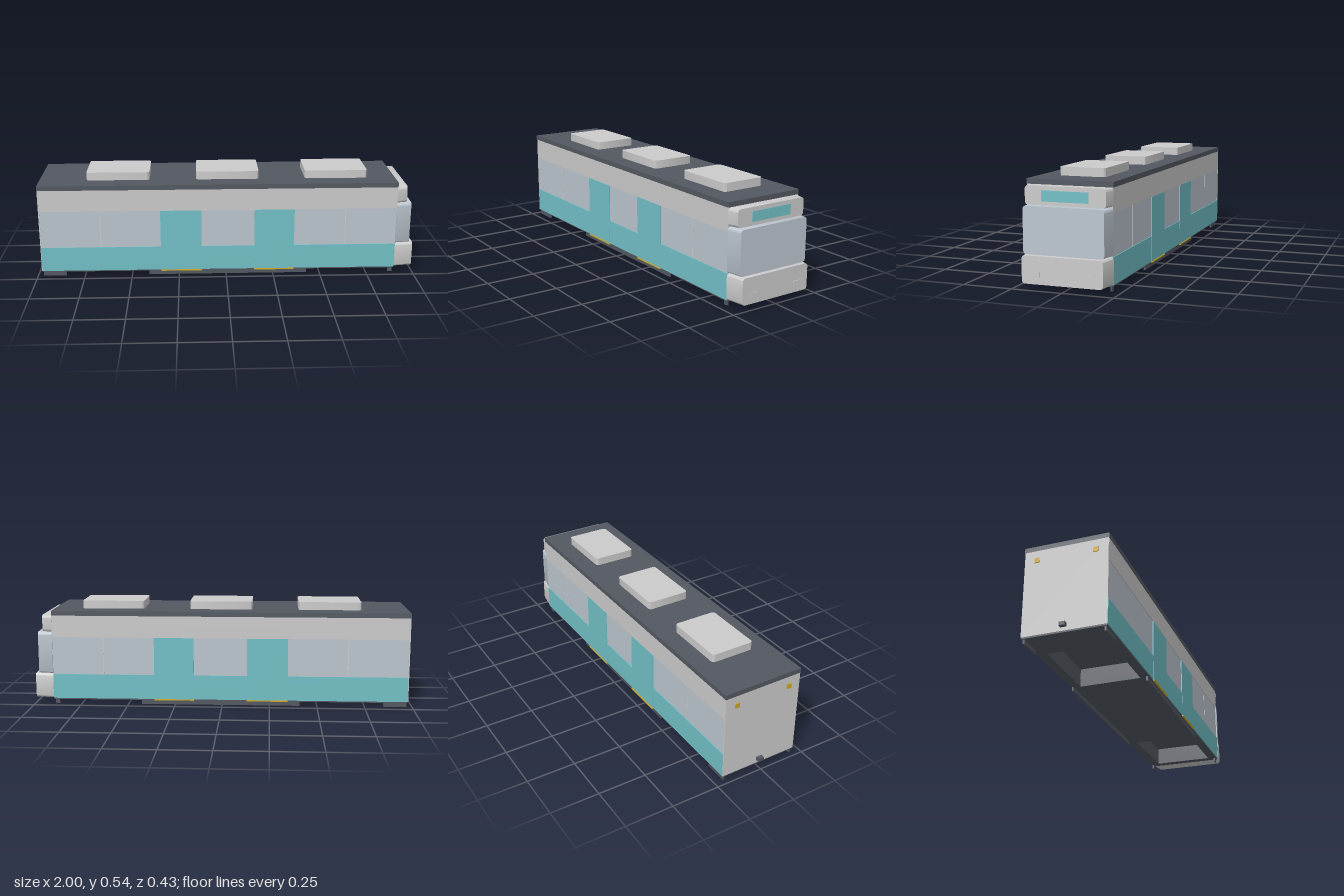
import * as THREE from 'three';
import { toCreasedNormals } from 'three/addons/utils/BufferGeometryUtils.js';

const mat = (color) => new THREE.MeshStandardMaterial({ color });
const GREY = mat(0xcccccc), GLASS = mat(0xbcc6cf), TEAL = mat(0x72c0c7);
const DARK = mat(0x535861), YELLOW = mat(0xd0a820), LAMP = mat(0xdededa);

function roundedRect(w, h, r) {
  const s = new THREE.Shape(), x = w / 2, y = h / 2;
  s.absarc(x - r, y - r, r, 0, Math.PI / 2);
  s.absarc(-x + r, y - r, r, Math.PI / 2, Math.PI);
  s.absarc(-x + r, -y + r, r, Math.PI, Math.PI * 1.5);
  s.absarc(x - r, -y + r, r, Math.PI * 1.5, Math.PI * 2);
  s.closePath();
  return s;
}

export function createModel() {
  const model = new THREE.Group();
  const add = (name, geometry, material) => {
    const mesh = new THREE.Mesh(geometry, material);
    mesh.name = name;
    model.add(mesh);
    return mesh;
  };
  // Box given by its limits on each axis
  const box = (name, material, x0, x1, y0, y1, z0, z1) => {
    const mesh = add(name, new THREE.BoxGeometry(x1 - x0, y1 - y0, z1 - z0), material);
    mesh.position.set((x0 + x1) / 2, (y0 + y1) / 2, (z0 + z1) / 2);
    return mesh;
  };
  const BACK = -0.975, FRONT = 0.9;

  // Underframe with two open bogie wells
  const floor = new THREE.Shape();
  floor.moveTo(BACK, -0.207).lineTo(FRONT, -0.207).lineTo(FRONT, 0.207).lineTo(BACK, 0.207).closePath();
  for (const x of [-0.6, 0.66]) {
    const well = new THREE.Path();
    well.moveTo(x - 0.2, -0.16).lineTo(x - 0.2, 0.16).lineTo(x + 0.2, 0.16).lineTo(x + 0.2, -0.16).closePath();
    floor.holes.push(well);
    box('wellCeiling', DARK, x - 0.21, x + 0.21, 0.118, 0.128, -0.17, 0.17);
  }
  const floorGeometry = new THREE.ExtrudeGeometry(floor, { depth: 0.1, bevelEnabled: false });
  floorGeometry.rotateX(-Math.PI / 2).translate(0, 0.023, 0);
  add('underframe', floorGeometry, DARK);

  // Body core, whose sides form the window glass
  box('windowBody', GLASS, BACK + 0.002, FRONT, 0.123, 0.475, -0.207, 0.207);
  box('rearWall', GREY, BACK - 0.003, BACK + 0.003, 0.03, 0.475, -0.21, 0.21);
  box('roof', DARK, BACK - 0.003, FRONT, 0.475, 0.5, -0.213, 0.213);

  // Side panels, doors, sills and skirts on both sides
  const doors = [[-0.345, -0.13], [0.15, 0.36]];
  for (const s of [-1, 1]) {
    const side = (name, material, x0, x1, y0, y1, inner, outer) =>
      box(name, material, x0, x1, y0, y1, Math.min(s * inner, s * outer), Math.max(s * inner, s * outer));
    side('lowerPanel', TEAL, BACK, FRONT, 0.03, 0.16, 0.2, 0.211);
    side('upperPanel', GREY, BACK, FRONT, 0.36, 0.475, 0.2, 0.211);
    for (const x of [-0.66, 0.63]) side('windowDivider', GREY, x - 0.003, x + 0.003, 0.16, 0.36, 0.2, 0.208);
    for (const [x0, x1] of doors) {
      side('door', TEAL, x0, x1, 0.03, 0.36, 0.2, 0.212);
      side('doorSill', YELLOW, x0, x1, 0.024, 0.03, 0.2, 0.216);
    }
    for (const [x0, x1] of [[-0.97, -0.85], [-0.41, 0.43], [0.87, 0.893]])
      side('skirt', DARK, x0, x1, 0, 0.024, 0.193, 0.202);
    // Rear marker lights and headlights
    side('rearMarker', YELLOW, BACK - 0.007, BACK, 0.41, 0.435, 0.135, 0.16);
    side('headlight', LAMP, 0.99, 1, 0.064, 0.087, 0.11, 0.15);
  }

  // Rounded cab blocks that narrow towards the nose
  const cabBlock = (name, material, y0, y1, x1) => {
    const depth = x1 - FRONT;
    const g = new THREE.ExtrudeGeometry(roundedRect(0.426, y1 - y0, 0.016), { depth, bevelEnabled: false, curveSegments: 5 });
    g.rotateY(Math.PI / 2).translate(FRONT, (y0 + y1) / 2, 0);
    const p = g.attributes.position;
    for (let i = 0; i < p.count; i++) p.setZ(i, p.getZ(i) * (1 - 0.07 * (p.getX(i) - FRONT) / depth));
    add(name, toCreasedNormals(g, 0.6), material);
  };
  cabBlock('cabNose', GREY, 0.03, 0.161, 0.997);
  cabBlock('windscreen', GLASS, 0.163, 0.385, 0.978);
  cabBlock('cabHeader', GREY, 0.387, 0.475, 0.952);
  box('destinationPanel', TEAL, 0.945, 0.955, 0.405, 0.455, -0.115, 0.115);

  // Roof equipment boxes
  for (const x of [-0.565, 0.01, 0.585]) {
    const g = new THREE.ExtrudeGeometry(roundedRect(0.33, 0.23, 0.015), { depth: 0.042, bevelEnabled: false, curveSegments: 4 });
    g.rotateX(-Math.PI / 2).translate(x, 0.5, 0);
    add('roofUnit', toCreasedNormals(g, 0.6), GREY);
  }

  // Rear coupler
  box('coupler', DARK, -1, BACK, 0.048, 0.066, -0.015, 0.015);
  return model;
}
